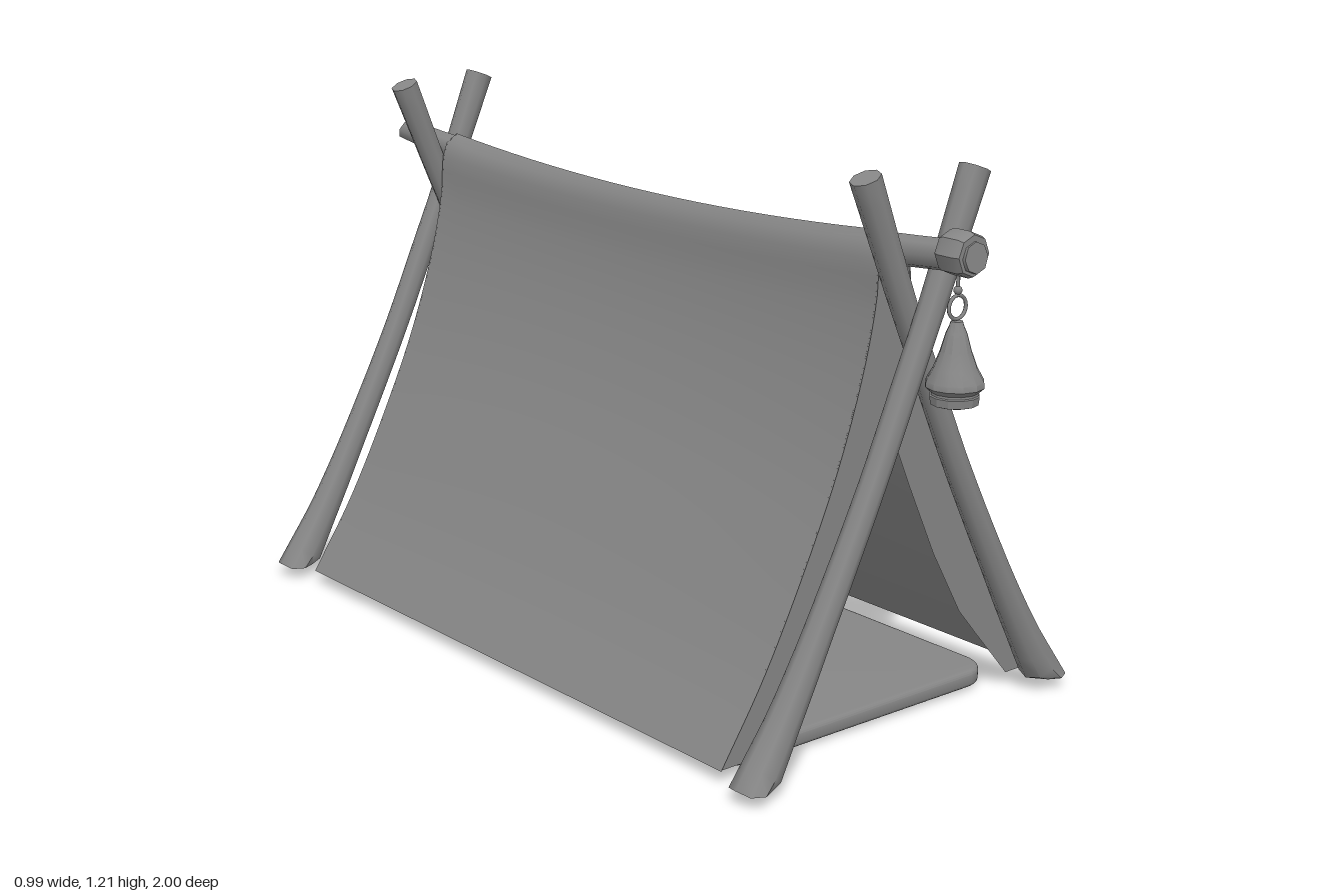
import * as THREE from 'three';
import { toCreasedNormals } from 'three/addons/utils/BufferGeometryUtils.js';

const COLOR = 0x868686;
const mat = new THREE.MeshStandardMaterial({ color: COLOR });
const cloth = new THREE.MeshStandardMaterial({ color: COLOR, side: THREE.DoubleSide });
const V = (x, y, z) => new THREE.Vector3(x, y, z);

function add(parent, name, geo, x = 0, y = 0, z = 0, material = mat) {
  const m = new THREE.Mesh(geo, material);
  m.name = name;
  m.position.set(x, y, z);
  parent.add(m);
  return m;
}

// Tapered, capped round limb along a smooth path; radii are spread evenly along it.
// floor flattens the foot, cut slants the far end.
function limb(points, radii, { floor = -Infinity, cut = 0 }) {
  const sides = 8, steps = 26;
  const curve = new THREE.CatmullRomCurve3(points);
  const { normals, binormals } = curve.computeFrenetFrames(steps);
  const pos = [], idx = [];
  const ring = (i, scale) => {
    const p = curve.getPointAt(i / steps);
    const f = (i / steps) * (radii.length - 1), k = Math.min(Math.floor(f), radii.length - 2);
    const r = scale * THREE.MathUtils.lerp(radii[k], radii[k + 1], f - k);
    for (let j = 0; j < sides; j++) {
      const a = (j / sides) * Math.PI * 2;
      const v = p.clone().addScaledVector(normals[i], r * Math.cos(a)).addScaledVector(binormals[i], r * Math.sin(a));
      if (i === steps) v.z += cut * (v.y - p.y);
      pos.push(v.x, Math.max(v.y, floor), v.z);
    }
  };
  ring(0, 0.001);
  for (let i = 0; i <= steps; i++) ring(i, 1);
  ring(steps, 0.001);
  for (let i = 0; i < steps + 2; i++) {
    for (let j = 0; j < sides; j++) {
      const a = i * sides + j, b = i * sides + (j + 1) % sides, c = a + sides, d = b + sides;
      idx.push(a, b, c, b, d, c);
    }
  }
  const g = new THREE.BufferGeometry();
  g.setAttribute('position', new THREE.Float32BufferAttribute(pos, 3));
  g.setIndex(idx);
  return toCreasedNormals(g, 0.9);
}

// Half of the tent's cross-section, from hem to ridge
const half = new THREE.CatmullRomCurve3([
  [0.45, 0.03], [0.34, 0.2], [0.235, 0.4], [0.145, 0.6], [0.078, 0.8],
  [0.048, 0.94], [0.042, 1.02], [0.026, 1.058], [0, 1.072],
].map(([x, y]) => V(x, y, 0))).getSpacedPoints(32);
const section = [
  ...half.map((p) => V(-p.x, p.y, 0)),
  ...half.slice(0, -1).reverse(),
];
const END = 0.768;

// Roof cloth, sagging between the two ends
function roof() {
  const nu = section.length - 1, nv = 20;
  const g = new THREE.PlaneGeometry(1, 1, nu, nv);
  const p = g.attributes.position;
  for (let i = 0; i < p.count; i++) {
    const s = section[i % (nu + 1)];
    const t = Math.floor(i / (nu + 1)) / nv * 2 - 1;
    const drop = (1 - t * t) * (s.y / 1.07) ** 3;
    p.setXYZ(i, s.x * (1 - 0.35 * drop), s.y - 0.035 * drop, t * END);
  }
  g.computeVertexNormals();
  return g;
}

function roundedRect(w, d, r) {
  const s = new THREE.Shape(), x = w / 2, y = d / 2;
  s.absarc(x - r, y - r, r, 0, Math.PI / 2);
  s.absarc(r - x, y - r, r, Math.PI / 2, Math.PI);
  s.absarc(r - x, r - y, r, Math.PI, Math.PI * 1.5);
  s.absarc(x - r, r - y, r, Math.PI * 1.5, Math.PI * 2);
  return s;
}

// Padded cell that swells downward from a flat top at y = 0
function pad(w, d, h) {
  const g = new THREE.BoxGeometry(w, h, d, 10, 1, 10);
  const p = g.attributes.position;
  for (let i = 0; i < p.count; i++) {
    const u = 2 * p.getX(i) / w, v = 2 * p.getZ(i) / d;
    const swell = Math.sqrt(Math.max(0, 1 - u ** 4) * Math.max(0, 1 - v ** 4));
    p.setY(i, p.getY(i) > 0 ? 0 : -h * (0.3 + 0.7 * swell));
  }
  return toCreasedNormals(g, 0.7);
}

export function createModel() {
  const root = new THREE.Group();
  root.name = 'ridgeTent';

  // Canvas: roof, closed back, open front
  const canvas = new THREE.Group();
  canvas.name = 'canvas';
  root.add(canvas);
  add(canvas, 'roofCloth', roof(), 0, 0, 0, cloth);
  const outline = section.map((p) => new THREE.Vector2(p.x, p.y));
  const back = add(canvas, 'backWall', new THREE.ShapeGeometry(new THREE.Shape(outline)), 0, 0, -END + 0.004, cloth);
  back.rotation.y = Math.PI;
  const edge = [[0.38, 0.03], [0.28, 0.145], [0.225, 0.21], [0.14, 0.36], [0.06, 0.53]];
  const opening = [
    ...edge.map(([x, y]) => new THREE.Vector2(x, y)),
    new THREE.Vector2(0, 0.665),
    ...edge.map(([x, y]) => new THREE.Vector2(-x, y)).reverse(),
  ];
  add(canvas, 'frontFlaps', new THREE.ShapeGeometry(new THREE.Shape([...outline, ...opening])), 0, 0, END - 0.004, cloth);

  // Crossed, bowed poles at both ends
  const bow = [[-0.455, 0.01], [-0.36, 0.165], [-0.27, 0.33], [-0.143, 0.58], [-0.043, 0.8], [0.02, 0.94], [0.128, 1.2]];
  const poleRadii = [0.047, 0.036, 0.031, 0.029, 0.028, 0.028, 0.028, 0.03, 0.033];
  for (const end of [1, -1]) {
    for (const [side, z] of [[1, 0.858], [-1, 0.81]]) {
      const path = bow.map(([x, y]) => V(x * side, y, end * (z - 0.004 * y) + 0.004));
      const name = (end > 0 ? 'front' : 'back') + (side > 0 ? 'Right' : 'Left') + 'Pole';
      add(root, name, limb(path, poleRadii, { floor: 0.027 }));
    }
  }

  // Ridge pole with a slanted back tip
  add(root, 'ridgePole', limb(
    [V(0, 1.054, 0.99), V(0, 1.036, 0.77), V(0, 1.01, 0.35), V(0, 1.006, 0), V(0, 1.01, -0.35), V(0, 1.034, -0.77), V(0, 1.046, -0.9), V(0, 1.057, -0.982)],
    [0.032, 0.033, 0.025, 0.02, 0.02, 0.02, 0.025, 0.033, 0.028], { cut: 0.55 }));
  const collar = add(root, 'ridgeCollar', toCreasedNormals(new THREE.LatheGeometry(
    [[0.028, -0.033], [0.042, -0.033], [0.047, -0.02], [0.047, 0.02], [0.042, 0.033], [0.028, 0.033]]
      .map(([x, y]) => new THREE.Vector2(x, y)), 8), 0.4), 0, 1.057, 0.95);
  collar.rotation.x = Math.PI / 2;

  // Hanging lantern
  const lantern = new THREE.Group();
  lantern.name = 'lantern';
  lantern.position.z = 0.943;
  root.add(lantern);
  add(lantern, 'hook', new THREE.CylinderGeometry(0.004, 0.004, 0.05, 6), 0, 0.997, 0);
  add(lantern, 'hookBead', new THREE.SphereGeometry(0.009, 8, 6), 0, 0.982, 0);
  add(lantern, 'hangingRing', new THREE.TorusGeometry(0.024, 0.004, 6, 18), 0, 0.948, 0);
  const shade = [[0, 0.922], [0.012, 0.92], [0.016, 0.908], [0.022, 0.895], [0.032, 0.86], [0.045, 0.825],
    [0.059, 0.8], [0.06, 0.788], [0.048, 0.777], [0.048, 0.772], [0.051, 0.77], [0.049, 0.753], [0.04, 0.75], [0, 0.75]]
    .reverse().map(([x, y]) => new THREE.Vector2(x, y));
  add(lantern, 'lanternBody', toCreasedNormals(new THREE.LatheGeometry(shade, 12), 0.5));

  // Quilted sleeping mat: three padded rows of two cells below, the middle row longest
  const bed = new THREE.Group();
  bed.name = 'sleepingMat';
  bed.position.set(-0.03, 0, -0.005);
  root.add(bed);
  const slab = new THREE.ExtrudeGeometry(roundedRect(0.76, 1.47, 0.06), {
    depth: 0.021, bevelThickness: 0.008, bevelSize: 0.01, bevelSegments: 3, curveSegments: 6,
  });
  slab.rotateX(-Math.PI / 2);
  add(bed, 'matTop', toCreasedNormals(slab, 0.6), 0, 0.016, 0);
  for (const x of [-0.181, 0.181]) {
    for (const [z, length] of [[-0.493, 0.4], [0, 0.55], [0.493, 0.4]]) {
      add(bed, 'matPad', pad(0.345, length, 0.012), x, 0.012, z);
    }
  }

  // Flat-ended pillow roll at the far end
  const pillow = new THREE.ExtrudeGeometry(roundedRect(0.2, 0.046, 0.02), {
    depth: 0.475, bevelEnabled: false, curveSegments: 6,
  });
  pillow.rotateY(Math.PI / 2);
  add(root, 'pillow', toCreasedNormals(pillow, 0.6), -0.24, 0.067, -0.55);

  return root;
}
